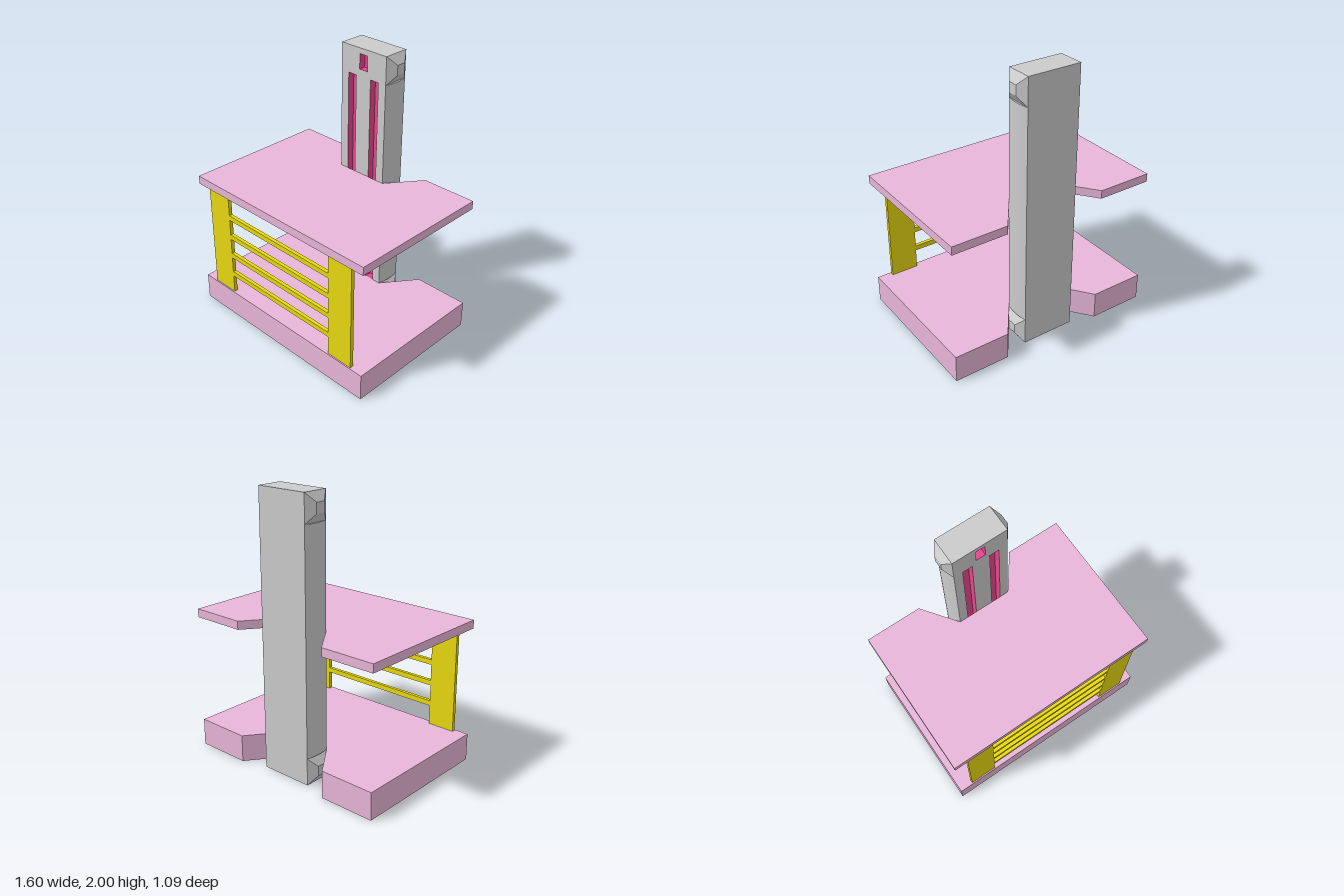
import * as THREE from 'three';

const grey = new THREE.MeshStandardMaterial({ color: 0xcccccc, flatShading: true });
const pink = new THREE.MeshStandardMaterial({ color: 0xe8b6d9 });
const yellow = new THREE.MeshStandardMaterial({ color: 0xe8d910 });
const magenta = new THREE.MeshStandardMaterial({ color: 0xe8468e, side: THREE.DoubleSide });

function add(parent, name, geometry, material, x = 0, y = 0, z = 0) {
  const mesh = new THREE.Mesh(geometry, material);
  mesh.name = name;
  mesh.position.set(x, y, z);
  parent.add(mesh);
  return mesh;
}

// Box without its +z face
function openBox(w, h, d) {
  const g = new THREE.BoxGeometry(w, h, d);
  const index = Array.from(g.index.array);
  index.splice(24, 6);
  g.setIndex(index);
  g.clearGroups();
  return g;
}

// Horizontal slab with a tapered notch at the back
function slab(height) {
  const outline = [[-0.8, -0.545], [0.8, -0.545], [0.8, 0.545], [0.385, 0.545],
    [0.2, 0.295], [-0.2, 0.295], [-0.385, 0.545], [-0.8, 0.545]];
  const shape = new THREE.Shape(outline.map(p => new THREE.Vector2(...p)));
  return new THREE.ExtrudeGeometry(shape, { depth: height, bevelEnabled: false }).rotateX(-Math.PI / 2);
}

function createTower() {
  const tower = new THREE.Group();
  tower.name = 'tower';
  const halfDepth = 0.0975, halfWidth = 0.2, recess = 0.05;
  add(tower, 'towerBody', openBox(halfWidth * 2, 2, halfDepth * 2), grey, 0, 1, 0);

  // Front face pierced by two long grooves and a small window: x, y, width, height
  const openings = [
    ['groove', -0.1, 1, 0.07, 1.6],
    ['groove', 0.1, 1, 0.07, 1.6],
    ['window', 0, 1.905, 0.07, 0.11],
  ];
  const rect = (Type, x, y, w, h) => new Type([[-1, -1], [1, -1], [1, 1], [-1, 1]]
    .map(([i, j]) => new THREE.Vector2(x + i * w / 2, y + j * h / 2)));
  const face = rect(THREE.Shape, 0, 1, halfWidth * 2, 2);
  for (const [name, x, y, w, h] of openings) {
    face.holes.push(rect(THREE.Path, x, y, w, h));
    add(tower, name, openBox(w, h, recess), magenta, x, y, halfDepth - recess / 2);
  }
  add(tower, 'towerFront', new THREE.ShapeGeometry(face), grey, 0, 0, halfDepth);

  // Sides: a shallow curved panel between two blunt pyramids
  const points = [];
  for (let i = 0; i <= 8; i++) {
    const t = i / 4 - 1;
    points.push(new THREE.Vector2(0.014 * (1 - t * t), t * halfDepth));
  }
  const panel = new THREE.ExtrudeGeometry(new THREE.Shape(points), { depth: 1.6, bevelEnabled: false })
    .rotateX(-Math.PI / 2);
  const stud = new THREE.CylinderGeometry(0.035 * Math.SQRT2, halfDepth * Math.SQRT2, 0.045, 4)
    .rotateY(Math.PI / 4).rotateZ(-Math.PI / 2).scale(1, 0.1 / halfDepth, 1);
  for (const angle of [0, Math.PI]) {
    const side = new THREE.Group();
    side.name = angle ? 'rightSide' : 'leftSide';
    side.rotation.y = angle;
    add(side, 'curvedPanel', panel, grey, halfWidth, 0.2, 0);
    for (const y of [0.1, 1.9]) add(side, 'stud', stud, grey, halfWidth + 0.0225, y, 0);
    tower.add(side);
  }
  tower.position.z = -0.3925;
  return tower;
}

export function createModel() {
  const model = new THREE.Group();
  model.name = 'towerPlatform';

  add(model, 'base', slab(0.2), pink);
  add(model, 'upperDeck', slab(0.062), pink, 0, 1, 0);
  model.add(createTower());

  // Front railing
  const z = 0.522, thickness = 0.027;
  for (const s of [-1, 1]) {
    add(model, s > 0 ? 'leftPost' : 'rightPost',
      new THREE.BoxGeometry(0.205, 0.8, thickness), yellow, s * 0.5925, 0.6, z);
  }
  for (let i = 0; i < 4; i++) {
    add(model, 'rail', new THREE.BoxGeometry(0.98, 0.038, thickness), yellow, 0, 0.36 + i * 0.16, z);
  }
  return model;
}
